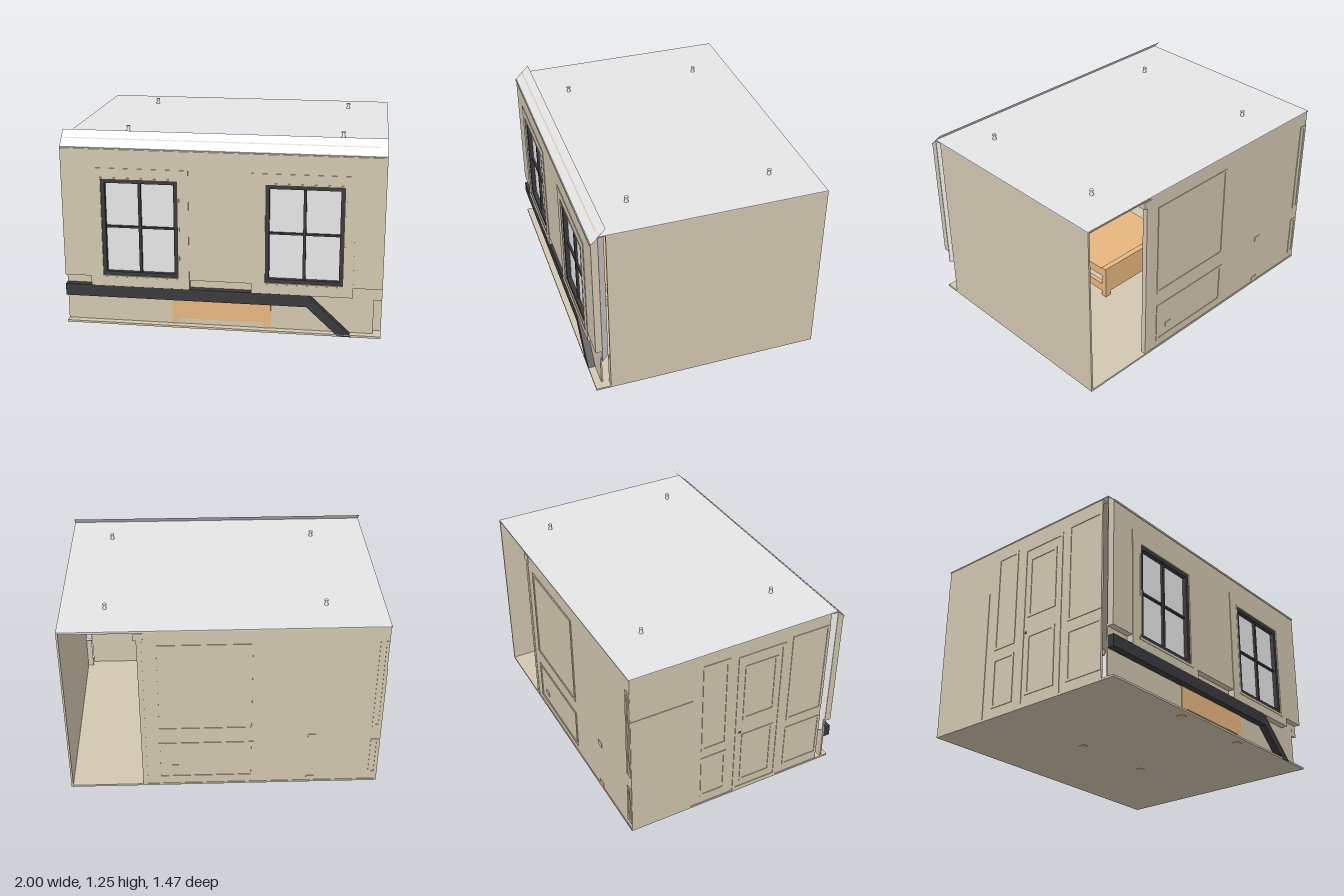
import * as THREE from 'three';

export function createModel() {
  const root = new THREE.Group();
  root.name = 'room';
  const mat = (name, color, side = THREE.FrontSide) => {
    const m = new THREE.MeshStandardMaterial({ color, side });
    m.name = name;
    return m;
  };
  const tan = mat('tan plaster', 0xd2c7b0);
  const pale = mat('pale grey', 0xe6e6e6, THREE.DoubleSide);
  const dark = mat('charcoal', 0x39393c);
  const wood = mat('orange wood', 0xe6b67e);

  const add = (name, geo, material, parent = root) => {
    const m = new THREE.Mesh(geo, material);
    m.name = name;
    parent.add(m);
    return m;
  };
  // Box given by its limits on each axis
  const box = (name, material, x0, x1, y0, y1, z0, z1, parent = root) =>
    add(name, new THREE.BoxGeometry(x1 - x0, y1 - y0, z1 - z0)
      .translate((x0 + x1) / 2, (y0 + y1) / 2, (z0 + z1) / 2), material, parent);
  const shapeOf = (pts) => new THREE.Shape(pts.map((p) => new THREE.Vector2(...p)));
  const rect = (x0, x1, y0, y1) => [[x0, y0], [x1, y0], [x1, y1], [x0, y1]];
  const extrude = (shape, depth, z) =>
    new THREE.ExtrudeGeometry(shape, { depth, bevelEnabled: false }).translate(0, 0, z);
  // Flat rectangular border of width w
  const border = (name, material, x0, x1, y0, y1, w, z, depth, parent = root) => {
    const s = shapeOf(rect(x0, x1, y0, y1));
    s.holes.push(shapeOf(rect(x0 + w, x1 - w, y0 + w, y1 - w)));
    return add(name, extrude(s, depth, z), material, parent);
  };

  // Shell: floor, ceiling, roof skin, side walls and back wall with an opening
  box('floor', tan, -1, 1, 0.002, 0.015, -0.735, 0.735);
  box('ceiling', tan, -0.994, 0.998, 1.188, 1.199, -0.73, 0.64);
  box('roofSkin', pale, -1, 1, 1.199, 1.206, -0.735, 0.685);
  box('rightWall', tan, 0.988, 1, 0.002, 1.199, -0.735, 0.64);
  box('leftWall', tan, -0.996, -0.985, 0.002, 1.199, -0.731, 0.64);
  box('backWall', tan, -0.985, 0.5, 0.002, 1.199, -0.731, -0.72);
  box('openingJamb', tan, 0.5, 0.53, 0.015, 1.188, -0.734, -0.7);
  box('jambCapital', tan, 0.49, 0.55, 1.14, 1.188, -0.735, -0.69);

  // Front wall: overhanging upper storey with window holes
  const windows = [[-0.51, -0.83, -0.2], [0.515, 0.19, 0.82]];
  const opening = (x) => shapeOf(rect(x - 0.24, x + 0.24, 0.335, 0.965));
  const upper = shapeOf([
    [-1, 0.325], [-0.83, 0.325], [-0.83, 0.262], [-0.2, 0.262], [-0.2, 0.325],
    [0.19, 0.325], [0.19, 0.262], [0.82, 0.262], [0.82, 0.325], [1, 0.325],
    [1, 1.155], [-1, 1.155]]);
  for (const [x] of windows) upper.holes.push(opening(x));
  add('upperFrontWall', extrude(upper, 0.043, 0.687), tan);
  box('lowerFrontWall', tan, -1, 0.95, 0.002, 0.34, 0.68, 0.69);
  box('cornerPanel', tan, 0.95, 1, 0.002, 0.24, 0.632, 0.64);
  box('cornerPanelTop', tan, 0.95, 1, 0.24, 0.33, 0.688, 0.691);

  // Slanted pale strips closing both front corners
  for (const s of [-1, 1]) {
    add('cornerStrip', new THREE.PlaneGeometry(0.07, 0.959)
      .rotateY(-s * Math.PI / 4).translate(s * 0.975, 0.7195, 0.664), pale);
  }

  // Windows, each on a thin raised wall panel
  for (const [x, x0, x1] of windows) {
    const plate = shapeOf(rect(x0, x1, 0.262, 1.035));
    plate.holes.push(opening(x));
    add('windowPanel', extrude(plate, 0.004, 0.73), tan);
    const w = new THREE.Group();
    w.name = 'window';
    w.position.x = x;
    root.add(w);
    box('glass', pale, -0.24, 0.24, 0.335, 0.965, 0.695, 0.7, w);
    border('casing', tan, -0.252, 0.252, 0.324, 0.976, 0.012, 0.73, 0.006, w);
    border('frame', dark, -0.24, 0.24, 0.336, 0.964, 0.024, 0.695, 0.033, w);
    box('mullion', dark, -0.009, 0.009, 0.35, 0.95, 0.7, 0.716, w);
    box('crossBar', dark, -0.22, 0.22, 0.647, 0.66, 0.7, 0.714, w);
    box('sill', tan, -0.26, 0.26, 0.318, 0.328, 0.73, 0.737, w);
  }

  // Cornice: wedge, sloping sheet and thin trims
  const wedge = shapeOf([[0.687, 1.155], [0.732, 1.155], [0.687, 1.2]]);
  add('corniceWedge', extrude(wedge, 2, 0).rotateY(-Math.PI / 2).translate(1, 0, 0), tan);
  const slope = new THREE.PlaneGeometry(2, Math.hypot(0.1, 0.095));
  slope.rotateX(-Math.PI / 4).translate(0, 1.203, 0.688);
  add('corniceSheet', slope, pale);
  box('corniceLip', tan, -1, 1, 1.15, 1.162, 0.72, 0.735);
  const line = new THREE.PlaneGeometry(1.95, 0.008);
  line.rotateX(-Math.PI / 4).translate(-0.025, 1.209, 0.685);
  add('corniceLine', line, tan);

  // Dark handrail, level and then sloping down
  const rail = shapeOf([[-1, 0.188], [0.535, 0.188], [0.735, 0.002], [0.82, 0.002],
    [0.54, 0.265], [-1, 0.265]]);
  add('handrail', extrude(rail, 0.046, 0.689), dark);

  // Low open bed frame with its foot against the front wall
  for (const [z0, z1] of [[-0.14, -0.1], [0.65, 0.694]]) {
    box('bedEndBoard', wood, -0.32, 0.31, 0.05, 0.25, z0, z1);
    for (const x of [-0.3, 0.285]) box('bedLeg', wood, x - 0.02, x + 0.025, 0, 0.06, z0, z1);
  }
  for (const x of [-0.32, 0.28]) box('bedSideRail', wood, x, x + 0.03, 0.05, 0.11, -0.12, 0.66);
  box('bedTop', wood, -0.32, 0.31, 0.18, 0.24, -0.12, 0.66);

  // Ceiling lamp stubs standing out of the roof
  for (const x of [-0.635, 0.725]) for (const z of [0.435, -0.47]) {
    add('lampStem', new THREE.CylinderGeometry(0.006, 0.014, 0.03, 12).translate(x, 1.218, z), pale);
    add('lampCap', new THREE.CylinderGeometry(0.013, 0.013, 0.008, 12).translate(x, 1.236, z), pale);
  }

  // Back wall panelling: local x runs opposite to world x
  const back = new THREE.Group();
  back.name = 'backPanelling';
  back.rotation.y = Math.PI;
  back.position.z = -0.731;
  root.add(back);
  const panel = (parent, x0, x1, y0, y1) =>
    border('moulding', tan, x0, x1, y0, y1, 0.018, 0, 0.004, parent);
  for (const [x0, x1] of [[-0.43, 0.19], [0.94, 0.995]]) {
    panel(back, x0, x1, 0.45, 1.1);
    panel(back, x0, x1, 0.06, 0.35);
  }
  for (const [x, y] of [[-0.32, 0.15], [0.56, 0.38], [0.56, 0.035]]) {
    box('socket', tan, x - 0.025, x + 0.025, y - 0.018, y + 0.018, 0, 0.004, back);
  }

  // Left wall panelling and door: local x is world z
  const side = new THREE.Group();
  side.name = 'doorWallPanelling';
  side.rotation.y = -Math.PI / 2;
  side.position.x = -0.996;
  root.add(side);
  box('halfHeightPanel', tan, -0.731, -0.32, 0.015, 0.89, 0, 0.004, side);
  for (const [z0, z1] of [[-0.25, -0.07], [0.37, 0.64]]) {
    panel(side, z0, z1, 0.46, 1.12);
    panel(side, z0, z1, 0.07, 0.4);
  }
  border('doorFrame', tan, -0.01, 0.32, 0.015, 1.1, 0.02, 0, 0.004, side);
  panel(side, 0.04, 0.27, 0.6, 1.02);
  panel(side, 0.04, 0.27, 0.08, 0.48);
  add('doorKnob', new THREE.SphereGeometry(0.01, 12, 8).translate(0.025, 0.5, -0.005), dark, side);

  return root;
}
